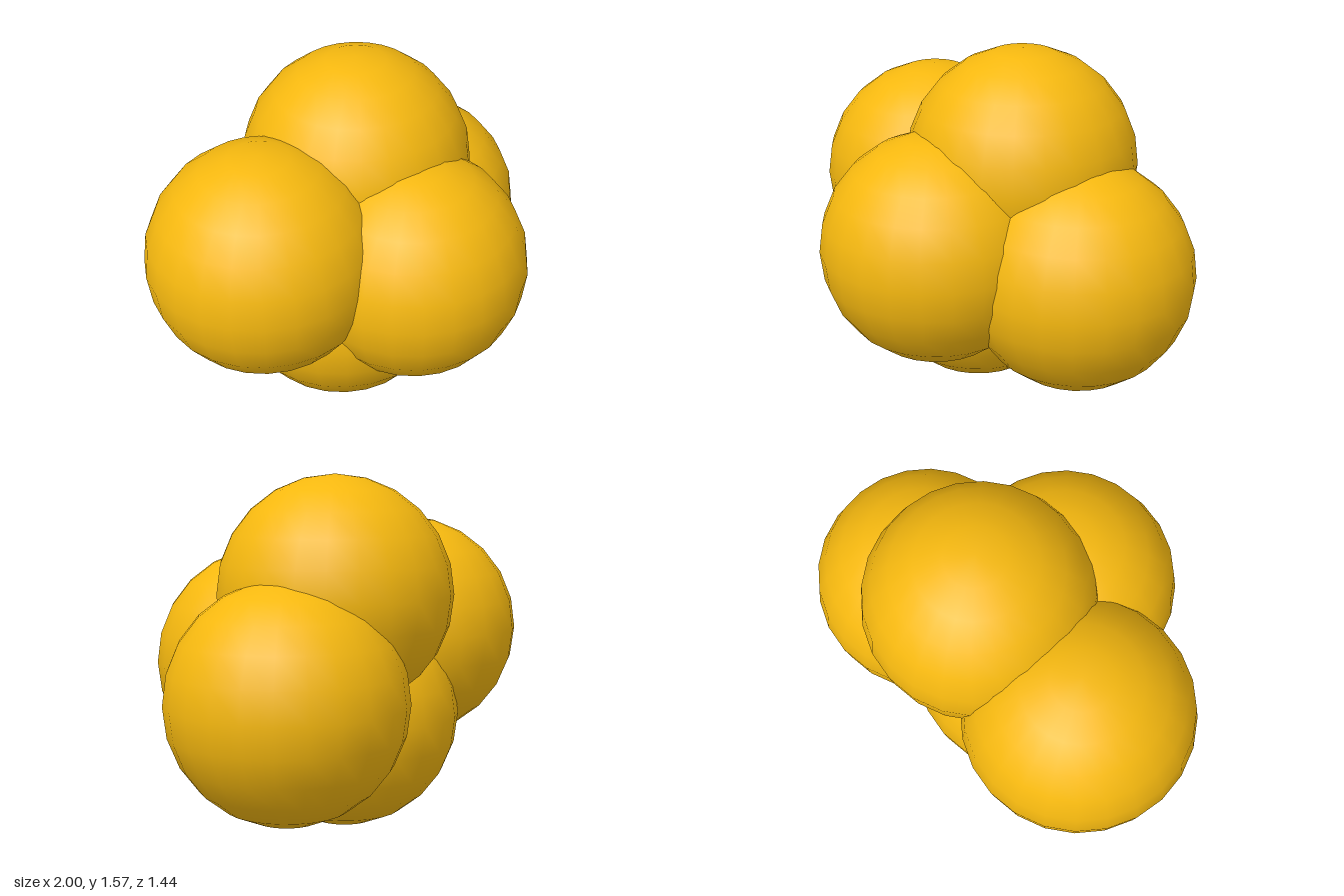
import * as THREE from 'three';

export function createModel() {
  const group = new THREE.Group();
  group.name = 'sphereCluster';

  const material = new THREE.MeshStandardMaterial({ color: 0xf5b80f });
  const ball = new THREE.SphereGeometry(0.51, 24, 12);

  // Five equal overlapping balls: name and centre
  const balls = [
    ['rightBall', -0.49, 0.86, -0.19],
    ['topBall', 0.12, 1.06, -0.2],
    ['leftBall', 0.49, 0.64, -0.21],
    ['frontBall', 0.03, 0.73, 0.21],
    ['bottomBall', -0.08, 0.51, -0.12],
  ];
  for (const [name, x, y, z] of balls) {
    const mesh = new THREE.Mesh(ball, material);
    mesh.name = name;
    mesh.position.set(x, y, z);
    group.add(mesh);
  }
  return group;
}
